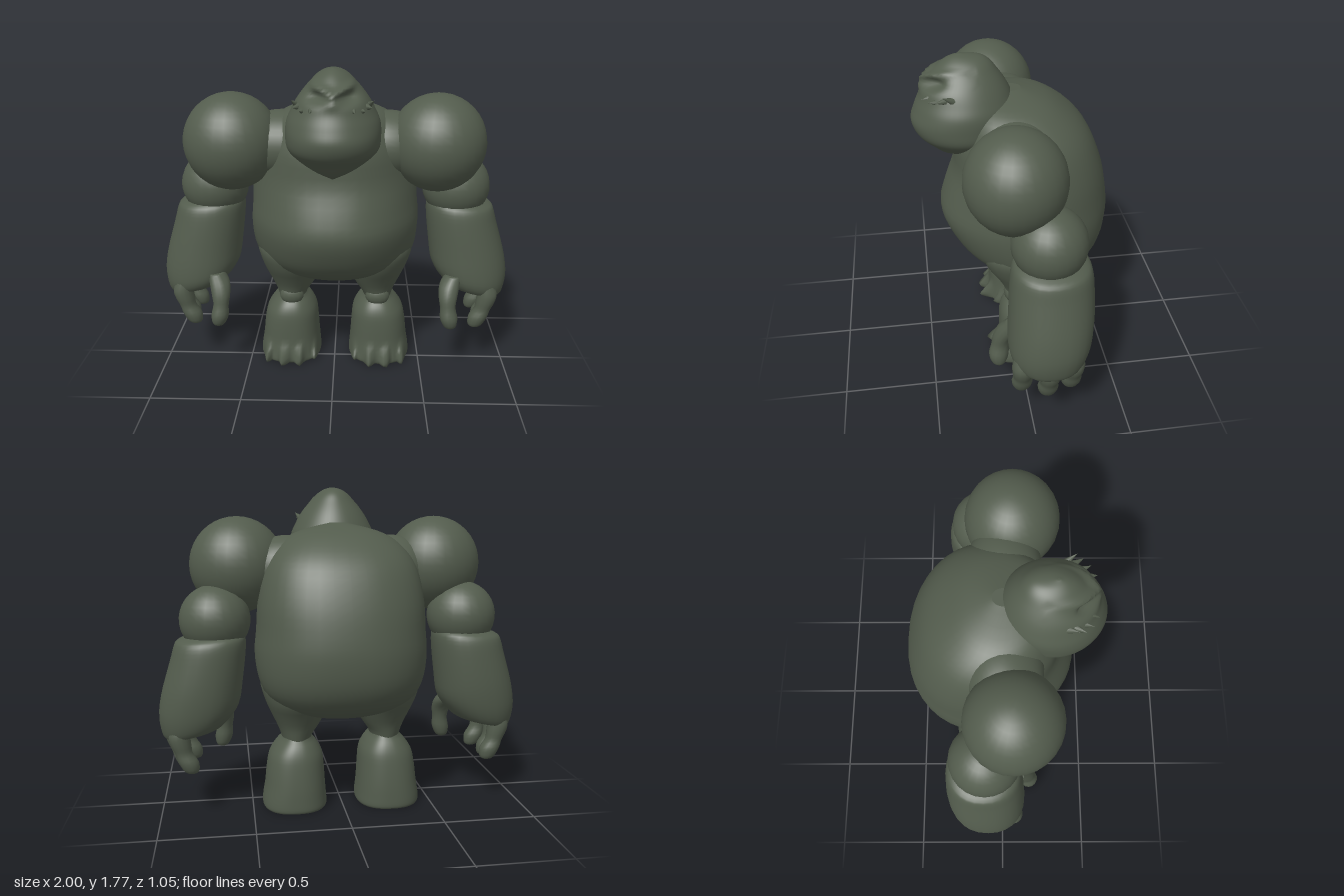
import * as THREE from 'three';

const skin = new THREE.MeshStandardMaterial({ color: 0x535c4d });
skin.name = 'mossy skin';

// Smooth interpolation between four values
const spline = (a, b, c, d, t) =>
  b + 0.5 * t * (c - a + t * (2 * a - 5 * b + 4 * c - d + t * (3 * (b - c) + d - a)));

// Bell curve used for sculpted bumps and dents
const bell = (v, width) => Math.exp(-((v / width) ** 2));

// Closed body through horizontal rings [y, centreX, halfWidth, frontZ, backZ].
// side mirrors the centre line; power squares the section; sculpt edits points.
function loft(rings, { side = 1, sub = 3, seg = 28, power = 2, sculpt } = {}) {
  const levels = [];
  const at = (i) => rings[Math.min(rings.length - 1, Math.max(0, i))];
  for (let i = 0; i < rings.length - 1; i++)
    for (let s = 0; s < sub; s++)
      levels.push(at(i).map((v, k) => spline(at(i - 1)[k], v, at(i + 1)[k], at(i + 2)[k], s / sub)));
  levels.push(at(rings.length - 1));
  const pos = [], index = [];
  const bend = (v) => Math.sign(v) * Math.abs(v) ** (2 / power);
  const ring = ([y, cx, hw, zf, zb]) => {
    for (let j = 0; j < seg; j++) {
      const a = (j / seg) * Math.PI * 2;
      const p = new THREE.Vector3(side * cx + hw * bend(Math.cos(a)), y,
        (zf + zb) / 2 + ((zf - zb) / 2) * bend(Math.sin(a)));
      if (sculpt) sculpt(p);
      pos.push(p.x, p.y, p.z);
    }
  };
  levels.forEach(ring);
  for (let i = 0; i < levels.length - 1; i++)
    for (let j = 0; j < seg; j++) {
      const a = i * seg + j, b = i * seg + ((j + 1) % seg);
      index.push(a, a + seg, b, b, a + seg, b + seg);
    }
  // End caps keep their own vertices so their edges stay sharp
  for (const top of [false, true]) {
    const l = top ? levels[levels.length - 1] : levels[0];
    const start = pos.length / 3;
    ring(l);
    pos.push(side * l[1], l[0], (l[3] + l[4]) / 2);
    for (let j = 0; j < seg; j++) {
      const a = start + j, b = start + ((j + 1) % seg);
      index.push(...(top ? [b, a, start + seg] : [a, b, start + seg]));
    }
  }
  const g = new THREE.BufferGeometry();
  g.setAttribute('position', new THREE.Float32BufferAttribute(pos, 3));
  g.setIndex(index);
  g.computeVertexNormals();
  return g;
}

function add(parent, name, geometry) {
  const m = new THREE.Mesh(geometry, skin);
  m.name = name;
  parent.add(m);
  return m;
}

function ball(parent, name, [x, y, z], [rx, ry, rz], seg = 24) {
  const m = add(parent, name, new THREE.SphereGeometry(1, seg, Math.round(seg * 0.7)));
  m.position.set(x, y, z);
  m.scale.set(rx, ry, rz);
}

// Tapered spike from one point to another
function spike(parent, name, from, to, r) {
  const a = new THREE.Vector3(...from), b = new THREE.Vector3(...to);
  const d = b.clone().sub(a);
  const m = add(parent, name, new THREE.ConeGeometry(r, d.length(), 8));
  m.position.copy(a).add(b).multiplyScalar(0.5);
  m.quaternion.setFromUnitVectors(new THREE.Vector3(0, 1, 0), d.normalize());
}

function buildHead(parent) {
  const head = new THREE.Group();
  head.name = 'head';
  parent.add(head);
  // Sunken eyes under slanted brows, with a short blunt nose
  const sculpt = (p) => {
    if (p.z < 0.2) return;
    const x = Math.abs(p.x);
    const browY = 1.672 + 0.4 * (x - 0.03);
    p.z += 0.035 * bell(p.y - browY, 0.018) * Math.exp(-((x / 0.14) ** 4))
      - 0.05 * bell(x - 0.085, 0.045) * bell(p.y - 1.645, 0.026)
      + 0.015 * bell(x, 0.04) * bell(p.y - 1.625, 0.025);
  };
  add(head, 'skull', loft([
    [1.215, 0, 0.01, 0.34, 0.28], [1.25, 0, 0.1, 0.39, 0.15], [1.3, 0, 0.18, 0.44, 0.05],
    [1.36, 0, 0.235, 0.5, 0], [1.43, 0, 0.245, 0.525, -0.02], [1.5, 0, 0.24, 0.505, -0.02],
    [1.56, 0, 0.215, 0.48, 0], [1.62, 0, 0.182, 0.46, 0.03], [1.68, 0, 0.135, 0.41, 0.07],
    [1.73, 0, 0.088, 0.355, 0.11], [1.757, 0, 0.045, 0.31, 0.16], [1.768, 0, 0.005, 0.27, 0.25],
  ], { seg: 56, sub: 5, sculpt }));
  for (const s of [1, -1]) {
    for (const [x, y, z, dx, dy] of [
      [0.1, 1.59, 0.41, 0.01, -0.01], [0.14, 1.575, 0.38, 0.02, 0.01],
      [0.165, 1.59, 0.345, 0.03, 0.005], [0.175, 1.59, 0.31, 0.03, 0.035],
    ]) spike(head, 'cheekSpike', [s * x, y, z], [s * (x + dx), y + dy, z + 0.055], 0.02);
  }
}

function buildArm(parent, s) {
  const arm = new THREE.Group();
  arm.name = s > 0 ? 'leftArm' : 'rightArm';
  parent.add(arm);
  ball(arm, 'shoulderBridge', [s * 0.28, 1.32, 0.01], [0.26, 0.185, 0.2], 28);
  ball(arm, 'shoulder', [s * 0.556, 1.342, 0.055], [0.262, 0.265, 0.255], 28);
  ball(arm, 'upperArm', [s * 0.685, 1.06, -0.092], [0.191, 0.19, 0.191]);
  // Forearm, starting inside the hollow palm; the cuff hangs lower on the outside
  const slant = (p) => {
    const lower = THREE.MathUtils.clamp((0.66 - p.y) / 0.2, 0, 1);
    const upper = THREE.MathUtils.clamp((p.y - 0.85) / 0.15, 0, 1);
    p.y -= 0.2 * lower * (Math.abs(p.x) - 0.84) + 0.08 * upper * (Math.abs(p.x) - 0.7);
  };
  add(arm, 'forearm', loft([
    [0.56, 0.8, 0.03, -0.06, -0.12], [0.53, 0.81, 0.1, 0.01, -0.17], [0.455, 0.815, 0.135, 0.06, -0.225],
    [0.45, 0.812, 0.163, 0.095, -0.255], [0.5, 0.798, 0.195, 0.122, -0.282], [0.58, 0.782, 0.217, 0.125, -0.3],
    [0.7, 0.76, 0.213, 0.118, -0.31], [0.85, 0.728, 0.2, 0.108, -0.308], [0.93, 0.715, 0.193, 0.098, -0.3],
    [0.965, 0.71, 0.18, 0.08, -0.28], [0.985, 0.7, 0.14, 0.05, -0.24],
  ], { side: s, power: 2.2, sculpt: slant }));
  // Thumb
  add(arm, 'thumb', loft([
    [0.275, 0.665, 0.015, 0.17, 0.145], [0.29, 0.663, 0.036, 0.195, 0.12], [0.34, 0.655, 0.05, 0.21, 0.105],
    [0.4, 0.648, 0.044, 0.195, 0.1], [0.46, 0.648, 0.053, 0.185, 0.08], [0.52, 0.658, 0.058, 0.16, 0.03],
    [0.57, 0.68, 0.045, 0.125, 0.0],
  ], { side: s, seg: 14 }));
  // Three fingers curling inward
  [[0.06, 0.015, -0.02], [-0.07, -0.005, 0.015], [-0.195, 0.012, -0.01]].forEach(([z, lift, out]) => {
    const r = [[0.225, 0.835, 0.015], [0.24, 0.84, 0.04], [0.29, 0.855, 0.054], [0.34, 0.878, 0.047],
      [0.39, 0.893, 0.055], [0.44, 0.9, 0.057], [0.5, 0.89, 0.045]];
    add(arm, 'finger', loft(r.map(([y, x, w]) => [y + lift, x + out, w, z + w, z - w]), { side: s, seg: 14 }));
  });
}

function buildLeg(parent, s) {
  const leg = new THREE.Group();
  leg.name = s > 0 ? 'leftLeg' : 'rightLeg';
  parent.add(leg);
  add(leg, 'thigh', loft([
    [0.34, 0.25, 0.07, 0.03, -0.2], [0.41, 0.25, 0.088, 0.06, -0.22], [0.47, 0.242, 0.12, 0.08, -0.24],
    [0.54, 0.24, 0.155, 0.12, -0.28], [0.62, 0.245, 0.182, 0.17, -0.33], [0.72, 0.25, 0.197, 0.2, -0.34],
    [0.82, 0.25, 0.15, 0.15, -0.28],
  ], { side: s }));
  ball(leg, 'knee', [s * 0.25, 0.415, 0.03], [0.07, 0.06, 0.045], 14);
  // Foot with four pointed toes drawn out of its lower front edge
  const toes = (p) => {
    const fade = Math.max(0, 1 - Math.abs(p.y - 0.03) / 0.09) * THREE.MathUtils.clamp(p.z / 0.06, 0, 1);
    const u = (Math.abs(p.x) - 0.265) / 0.17;
    p.z += 0.07 * fade * Math.max(0, Math.cos(((u + 0.35) / 0.57) * Math.PI * 2));
  };
  add(leg, 'foot', loft([
    [0, 0.265, 0.172, 0.105, -0.28], [0.015, 0.265, 0.18, 0.115, -0.287], [0.06, 0.265, 0.177, 0.112, -0.287],
    [0.13, 0.262, 0.168, 0.105, -0.284], [0.22, 0.26, 0.16, 0.105, -0.275], [0.3, 0.256, 0.147, 0.1, -0.262],
    [0.355, 0.252, 0.115, 0.08, -0.24], [0.39, 0.25, 0.085, 0.05, -0.215], [0.42, 0.25, 0.07, 0.03, -0.2],
  ], { side: s, power: 2.4, seg: 64, sculpt: toes }));
}

export function createModel() {
  const model = new THREE.Group();
  model.name = 'hulkingCreature';
  // Barrel torso with a heavy belly and humped back, narrowing toward the front
  const narrow = (p) => { p.x *= 1 - 0.5 * Math.max(0, p.z); };
  add(model, 'torso', loft([
    [0.51, 0, 0.06, 0.0, -0.15], [0.53, 0, 0.2, 0.08, -0.27], [0.58, 0, 0.335, 0.18, -0.38],
    [0.65, 0, 0.42, 0.275, -0.455], [0.75, 0, 0.46, 0.345, -0.505], [0.88, 0, 0.475, 0.395, -0.525],
    [1.0, 0, 0.465, 0.37, -0.518], [1.15, 0, 0.455, 0.318, -0.488], [1.3, 0, 0.43, 0.31, -0.432],
    [1.4, 0, 0.385, 0.28, -0.362], [1.48, 0, 0.31, 0.25, -0.265], [1.53, 0, 0.21, 0.2, -0.175],
    [1.57, 0, 0.05, 0.1, -0.05],
  ], { seg: 40, power: 2.3, sculpt: narrow }));
  buildHead(model);
  for (const s of [1, -1]) {
    buildArm(model, s);
    buildLeg(model, s);
  }
  return model;
}
